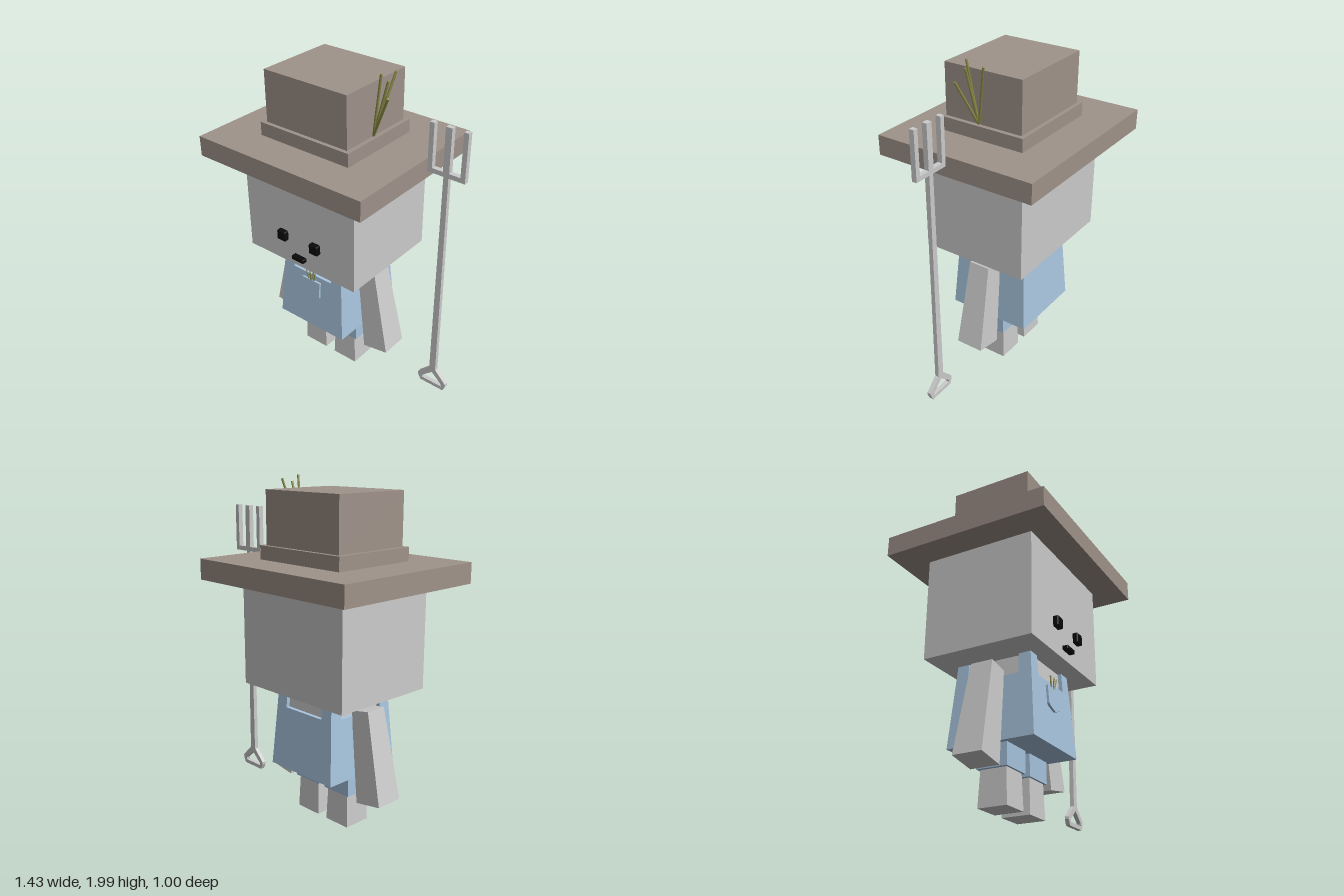
import * as THREE from 'three';
import { RoundedBoxGeometry } from 'three/addons/geometries/RoundedBoxGeometry.js';

const material = (color) => new THREE.MeshStandardMaterial({ color });

// Block between two rectangles [halfWidth, halfDepth, centreX, centreZ] at heights y0 and y1
function blockGeometry(y0, [w0, d0, x0 = 0, z0 = 0], y1, [w1, d1, x1 = 0, z1 = 0]) {
  const geometry = new THREE.BoxGeometry(2, 2, 2);
  const p = geometry.attributes.position;
  for (let i = 0; i < p.count; i++) {
    const sx = p.getX(i), sz = p.getZ(i);
    if (p.getY(i) > 0) p.setXYZ(i, x1 + sx * w1, y1, z1 + sz * d1);
    else p.setXYZ(i, x0 + sx * w0, y0, z0 + sz * d0);
  }
  geometry.computeVertexNormals();
  return geometry;
}

export function createModel() {
  const grey = material(0xcccccc);
  const brown = material(0xa0938a);
  const blue = material(0xa8c5df);
  const black = material(0x0a0a0a);
  const straw = material(0x8f8f48);

  const model = new THREE.Group();
  const figure = new THREE.Group();
  figure.name = 'figure';
  figure.position.x = -0.145;
  model.add(figure);

  const add = (parent, name, geometry, mat) => {
    const mesh = new THREE.Mesh(geometry, mat);
    mesh.name = name;
    parent.add(mesh);
    return mesh;
  };
  const block = (name, mat, y0, lower, y1, upper = lower) =>
    add(figure, name, blockGeometry(y0, lower, y1, upper), mat);

  // Thin rod from a to b
  const rod = (name, a, b, radius) => {
    const start = new THREE.Vector3(...a), dir = new THREE.Vector3(...b).sub(start);
    const geometry = new THREE.CylinderGeometry(radius, radius, dir.length(), 6);
    const mesh = add(figure, name, geometry, straw);
    mesh.position.copy(start).addScaledVector(dir, 0.5);
    mesh.quaternion.setFromUnitVectors(new THREE.Vector3(0, 1, 0), dir.normalize());
  };

  // Head and hat
  block('head', grey, 0.803, [0.396, 0.332], 1.415);
  block('hatBrim', brown, 1.415, [0.57, 0.5], 1.535);
  block('hatBand', brown, 1.535, [0.311, 0.273], 1.615);
  block('hatCrown', brown, 1.615, [0.284, 0.249], 1.922);

  // Face
  for (const x of [-0.12, 0.122]) {
    add(figure, 'eye', new RoundedBoxGeometry(0.063, 0.063, 0.06, 2, 0.008), black).position.set(x, 0.983, 0.332);
  }
  add(figure, 'mouth', new RoundedBoxGeometry(0.09, 0.026, 0.06, 2, 0.006), black).position.set(0.002, 0.868, 0.334);

  // Overalls: tapered body with a strap at each corner, over a slimmer torso
  const hem = 0.325, bib = 0.69, top = 0.803;
  const halfX = (y) => THREE.MathUtils.mapLinear(y, hem, top, 0.246, 0.215);
  const halfZ = (y) => THREE.MathUtils.mapLinear(y, hem, top, 0.262, 0.228);
  block('overalls', blue, hem, [halfX(hem), halfZ(hem)], bib, [halfX(bib), halfZ(bib)]);
  block('torso', grey, bib - 0.02, [0.2, 0.214], top, [0.192, 0.206]);
  for (const sx of [-1, 1]) {
    for (const sz of [-1, 1]) {
      const rect = (y) => [
        (halfX(y) - 0.144) / 2, (halfZ(y) - 0.157) / 2,
        sx * (halfX(y) + 0.144) / 2, sz * (halfZ(y) + 0.157) / 2,
      ];
      block('strap', blue, bib, rect(bib), top, rect(top));
    }
  }

  // Pocket, leaning with the front of the overalls
  const pocketShape = new THREE.Shape([
    [-0.067, 0.06], [-0.067, -0.045], [-0.055, -0.056], [0, -0.076], [0.055, -0.056], [0.067, -0.045], [0.067, 0.06],
  ].map(([x, y]) => new THREE.Vector2(x, y)));
  const pocket = add(figure, 'pocket', new THREE.ExtrudeGeometry(pocketShape, { depth: 0.016, bevelEnabled: false }), blue);
  pocket.position.set(0, 0.597, halfZ(0.597) - 0.003);
  pocket.rotation.x = -0.071;

  // Straw in the pocket and in the hat band
  for (const [x, y, z] of [[-0.035, 0.722, 0.25], [-0.015, 0.73, 0.243], [0.002, 0.715, 0.256], [0.018, 0.73, 0.246], [0.036, 0.724, 0.252]]) {
    rod('pocketStraw', [x * 0.3, 0.62, 0.245], [x, y, z], 0.0035);
  }
  for (const [x, y, z] of [[0.35, 1.99, 0.053], [0.36, 1.972, -0.062], [0.382, 1.953, 0.035], [0.415, 1.88, 0.08]]) {
    rod('hatStraw', [0.284, 1.612, 0.025], [x, y, z], 0.007);
  }

  for (const s of [-1, 1]) {
    // Arm hanging outwards from the shoulder
    const arm = add(figure, 'arm', blockGeometry(-0.27, [0.086, 0.086], 0.27, [0.062, 0.066]), grey);
    arm.position.set(s * 0.32, 0.465, 0);
    arm.rotation.z = s * 0.167;

    // Trouser leg and foot
    block('trouserLeg', blue, 0.2, [0.097, 0.091, s * 0.12], hem + 0.02);
    block('leg', grey, 0, [0.085, 0.086, s * 0.12], 0.21, [0.077, 0.078, s * 0.12]);
  }

  // Pitchfork
  const fork = new THREE.Group();
  fork.name = 'pitchfork';
  fork.position.x = 0.597;
  model.add(fork);
  add(fork, 'forkHandle', blockGeometry(0.185, [0.021, 0.013], 1.52, [0.015, 0.013]), grey);
  add(fork, 'forkCrossbar', blockGeometry(1.515, [0.114, 0.015], 1.542, [0.114, 0.015]), grey);
  for (const [x, w] of [[-0.1, 0.014], [0, 0.019], [0.1, 0.014]]) {
    add(fork, 'forkTine', blockGeometry(1.53, [w, 0.015, x], 1.796, [w, 0.015, x]), grey);
  }

  // Triangular grip with an open middle
  const toVectors = (points) => points.map(([x, y]) => new THREE.Vector2(x, y));
  const grip = new THREE.Shape(toVectors([
    [-0.024, 0.197], [-0.097, 0.122], [-0.097, 0.106], [-0.08, 0.07],
    [0.08, 0.07], [0.097, 0.106], [0.097, 0.122], [0.024, 0.197],
  ]));
  grip.holes.push(new THREE.Path(toVectors([[-0.07, 0.094], [0.07, 0.094], [0.068, 0.11], [0, 0.172], [-0.068, 0.11]])));
  const gripGeometry = new THREE.ExtrudeGeometry(grip, { depth: 0.026, bevelEnabled: false });
  add(fork, 'forkGrip', gripGeometry.translate(0, 0, -0.013), grey);

  return model;
}
